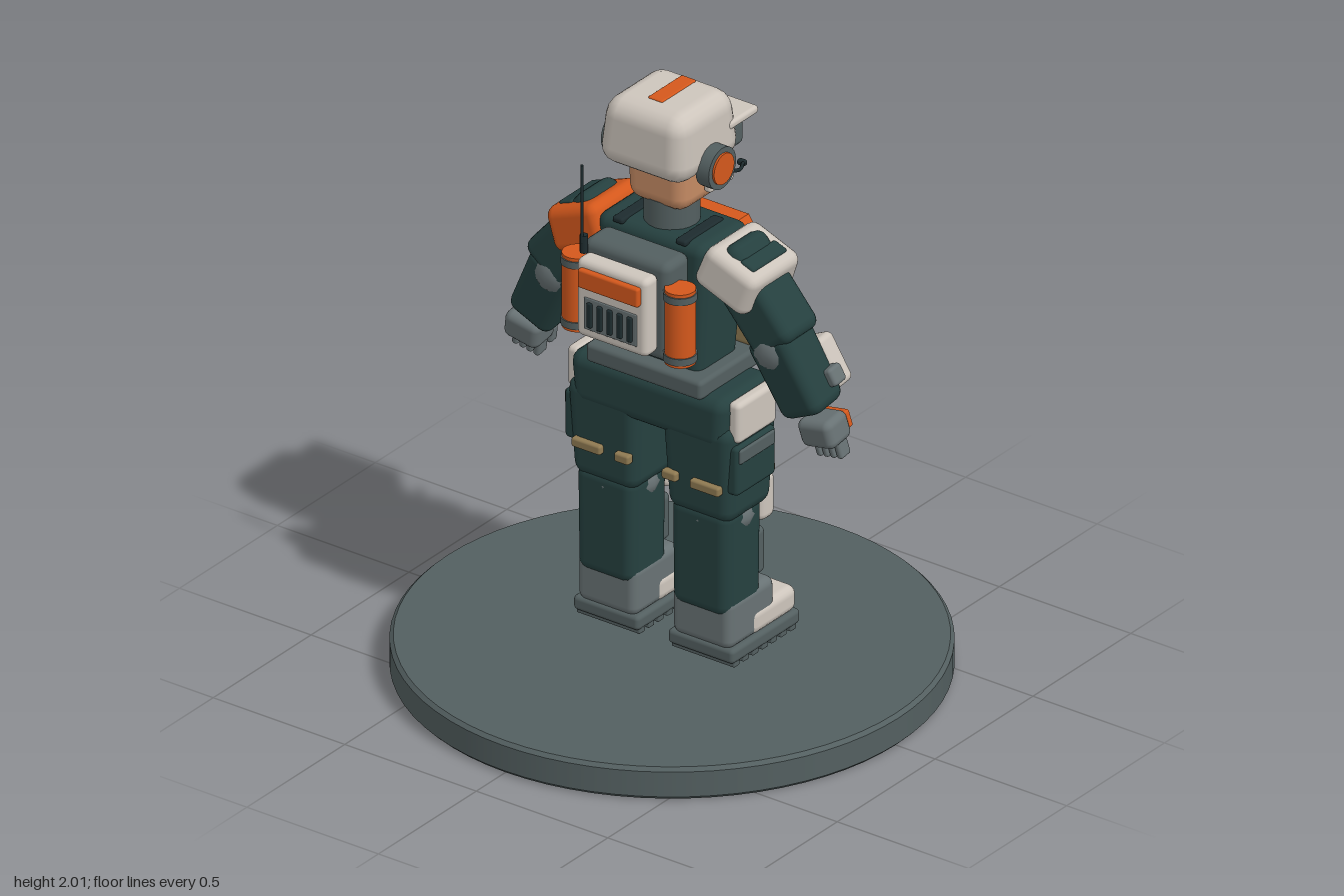
import * as THREE from 'three';
import { RoundedBoxGeometry } from 'three/addons/geometries/RoundedBoxGeometry.js';

const mat = (name, color) => {
  const m = new THREE.MeshStandardMaterial({ color });
  m.name = name;
  return m;
};

export function createModel() {
  const root = new THREE.Group();
  root.name = 'trooperFigure';
  const teal = mat('dark teal', 0x25403f), grey = mat('slate grey', 0x535f60),
    boot = mat('light slate', 0x687274), white = mat('warm white', 0xcdc5bc),
    orange = mat('orange', 0xd4581c), tan = mat('tan', 0x8f7a52),
    skin = mat('skin', 0xc48a63), black = mat('near black', 0x1d2b2e);

  const add = (parent, name, geo, m, x, y, z) => {
    const mesh = new THREE.Mesh(geo, m);
    mesh.name = name;
    mesh.position.set(x, y, z);
    parent.add(mesh);
    return mesh;
  };
  // rounded box: size, centre, corner radius
  const box = (parent, name, m, w, h, d, x, y, z, r = 0.02) =>
    add(parent, name, new RoundedBoxGeometry(w, h, d, 2, Math.min(r, w * 0.49, h * 0.49, d * 0.49)), m, x, y, z);
  const cyl = (parent, name, m, r, h, x, y, z, n = 24) =>
    add(parent, name, new THREE.CylinderGeometry(r, r, h, n), m, x, y, z);
  // scale the cross-section from the bottom to the top
  const taper = (mesh, bottom, top) => {
    const p = mesh.geometry.attributes.position;
    mesh.geometry.computeBoundingBox();
    const { min, max } = mesh.geometry.boundingBox;
    for (let i = 0; i < p.count; i++) {
      const k = THREE.MathUtils.lerp(bottom, top, (p.getY(i) - min.y) / (max.y - min.y));
      p.setX(i, p.getX(i) * k);
      p.setZ(i, p.getZ(i) * k);
    }
    return mesh;
  };
  const group = (name, x = 0, y = 0, z = 0) => {
    const g = new THREE.Group();
    g.name = name;
    g.position.set(x, y, z);
    root.add(g);
    return g;
  };

  // round stand with softened rims
  const rim = [[0, 0], [0.85, 0], [0.862, 0.012], [0.862, 0.098], [0.85, 0.11], [0, 0.11]];
  for (let i = 0; i < rim.length - 1; i++) {
    const pts = [rim[i], rim[i + 1]].map(([x, y]) => new THREE.Vector2(x, y));
    add(root, 'stand', new THREE.LatheGeometry(pts, 72), grey, 0, 0, 0);
  }

  // legs, left and right
  for (const s of [-1, 1]) {
    const leg = group(s > 0 ? 'leftLeg' : 'rightLeg', s * 0.18);
    box(leg, 'sole', grey, 0.25, 0.05, 0.35, 0, 0.165, -0.075, 0.015);
    for (let i = 0; i < 7; i++) box(leg, 'tread', grey, 0.24, 0.025, 0.03, 0, 0.137, 0.07 - i * 0.048, 0.005);
    box(leg, 'bootUpper', boot, 0.225, 0.17, 0.24, 0, 0.265, -0.02, 0.03);
    box(leg, 'toeCap', white, 0.235, 0.09, 0.235, 0, 0.228, -0.13, 0.03);
    taper(box(leg, 'shin', teal, 0.225, 0.37, 0.195, 0, 0.475, 0.015, 0.04), 0.97, 1);
    const knee = add(leg, 'kneeJoint', new THREE.SphereGeometry(0.12, 16, 10), boot, 0, 0.61, 0.005);
    knee.scale.set(1, 0.65, 0.9);
    box(leg, 'shinGuard', grey, 0.15, 0.16, 0.065, 0, 0.43, -0.108, 0.02);
    box(leg, 'shinGuardStripe', orange, 0.03, 0.1, 0.008, 0, 0.44, -0.143, 0.003);
    box(leg, 'kneePad', white, 0.19, 0.16, 0.075, 0, 0.62, -0.128, 0.025);
    box(leg, 'kneePadStripe', orange, 0.12, 0.03, 0.008, 0, 0.625, -0.168, 0.003);
    taper(box(leg, 'thigh', teal, 0.275, 0.34, 0.265, 0, 0.79, 0, 0.045), 0.87, 1);
    box(leg, 'thighPocket', teal, 0.05, 0.17, 0.2, s * 0.125, 0.82, 0.01, 0.015);
    box(leg, 'pocketFlap', grey, 0.02, 0.05, 0.18, s * 0.146, 0.87, 0.01, 0.008);
    for (const [w, x] of [[0.06, -0.055], [0.05, 0.035]])
      box(leg, 'thighStripe', orange, w, 0.26, 0.025, s * x, 0.81, -0.13, 0.008);
    for (const [w, x] of [[0.11, 0.045], [0.055, -0.09]])
      box(leg, 'thighStrap', tan, w, 0.032, 0.03, s * x, 0.748, 0.127, 0.008);
    box(leg, 'thighStrap', tan, 0.05, 0.03, 0.03, s * 0.09, 0.73, -0.12, 0.008);
    box(root, 'hipPad', white, 0.045, 0.14, 0.2, s * 0.306, 0.98, 0.0, 0.018);
  }

  // pelvis, belt and torso
  taper(box(root, 'pelvis', teal, 0.6, 0.18, 0.28, 0, 0.97, 0, 0.045), 0.95, 1);
  box(root, 'belt', grey, 0.44, 0.065, 0.31, 0, 1.082, -0.005, 0.015);
  box(root, 'beltBuckle', boot, 0.1, 0.05, 0.02, 0, 1.082, -0.165, 0.008);
  taper(box(root, 'torso', teal, 0.42, 0.48, 0.25, 0, 1.32, -0.005, 0.04), 0.82, 1);
  cyl(root, 'collar', grey, 0.088, 0.1, 0, 1.6, 0);

  // chest plate with a seam and pocket marks
  const outline = [[-0.14, 1.23], [0.14, 1.23], [0.195, 1.31], [0.2, 1.45], [0.15, 1.53], [-0.15, 1.53], [-0.2, 1.45], [-0.195, 1.31]];
  const plate = new THREE.ExtrudeGeometry(new THREE.Shape(outline.map(([x, y]) => new THREE.Vector2(x, y))),
    { depth: 0.06, bevelSize: 0.008, bevelThickness: 0.008, bevelSegments: 2 });
  add(root, 'chestPlate', plate, orange, 0, 0, -0.182);
  box(root, 'chestSeam', black, 0.012, 0.19, 0.014, 0, 1.425, -0.195, 0.004);
  box(root, 'chestTag', grey, 0.07, 0.03, 0.008, 0.12, 1.46, -0.193, 0.003);
  box(root, 'chestMark', tan, 0.07, 0.02, 0.008, -0.1, 1.41, -0.193, 0.003);

  // belly pouches
  for (const x of [-0.15, 0, 0.15]) {
    box(root, 'pouch', tan, 0.125, 0.14, 0.11, x, 1.18, -0.185, 0.02);
    box(root, 'pouchLid', teal, 0.105, 0.05, 0.035, x, 1.22, -0.235, 0.012);
    box(root, 'pouchClip', black, 0.025, 0.05, 0.012, x, 1.19, -0.25, 0.004);
  }

  // arms, left and right
  for (const s of [-1, 1]) {
    const side = s > 0 ? 'left' : 'right';
    const upper = group(side + 'UpperArm', s * 0.335, 1.4, 0);
    upper.rotation.z = s * 0.71;
    box(upper, 'sleeve', teal, 0.175, 0.35, 0.175, 0, 0, 0, 0.035);

    const pad = group(side + 'ShoulderPad', s * 0.285, 1.472, -0.005);
    pad.rotation.z = -s * 0.37;
    const shell = s > 0 ? white : orange;
    taper(box(pad, 'shoulderShell', shell, 0.215, 0.15, 0.265, 0, 0, 0, 0.035), 1, 0.95);
    box(pad, 'shoulderSlot', teal, 0.055, 0.02, 0.175, s * 0.035, 0.073, 0, 0.009);
    box(pad, 'shoulderBadge', black, 0.1, 0.085, 0.015, s * 0.02, -0.005, -0.132, 0.007);
    box(pad, 'badgePlate', boot, 0.065, 0.05, 0.008, s * 0.02, -0.005, -0.14, 0.003);

    const elbow = add(root, side + 'Elbow', new THREE.SphereGeometry(0.1, 16, 10), boot, s * 0.415, 1.255, 0.005);
    elbow.scale.set(0.9, 0.9, 0.9);

    const fore = group(side + 'Forearm', s * 0.463, 1.175, -0.01);
    fore.rotation.set(0.12, 0, s * 0.46);
    taper(box(fore, 'sleeve', teal, 0.17, 0.28, 0.155, 0, 0, 0, 0.035), 0.97, 1.03);
    box(fore, 'armGuard', white, 0.13, 0.17, 0.08, s * 0.01, -0.03, -0.1, 0.02);
    box(fore, 'guardStripe', orange, 0.035, 0.11, 0.012, s * 0.01, -0.03, -0.141, 0.004);
    box(fore, 'wristDevice', boot, 0.05, 0.06, 0.06, s * 0.085, -0.06, -0.05, 0.012);

    const hand = group(side + 'Hand', s * 0.56, 0.995, -0.025);
    hand.rotation.set(0.15, 0, s * 0.2);
    box(hand, 'glove', boot, 0.13, 0.095, 0.11, 0, 0, 0, 0.025);
    box(hand, 'glovePlate', orange, 0.09, 0.06, 0.025, s * 0.01, 0.005, -0.06, 0.008);
    for (let i = 0; i < 4; i++)
      box(hand, 'finger', boot, 0.023, 0.07, 0.05, (i - 1.5) * 0.027, -0.065, -0.01, 0.01);
    box(hand, 'thumb', boot, 0.03, 0.065, 0.04, -s * 0.045, -0.045, -0.055, 0.012);
  }

  // head and face
  const head = group('head');
  taper(box(head, 'face', skin, 0.235, 0.24, 0.24, 0, 1.75, -0.018, 0.05), 0.94, 1);
  box(head, 'nose', skin, 0.04, 0.055, 0.04, 0, 1.745, -0.145, 0.015);
  box(head, 'mouth', black, 0.06, 0.01, 0.008, 0, 1.69, -0.135, 0.003);

  // helmet
  taper(box(head, 'helmetShell', white, 0.345, 0.23, 0.335, 0, 1.885, 0.015, 0.065), 1, 0.87);
  box(head, 'helmetStripe', orange, 0.055, 0.012, 0.175, 0, 1.999, 0, 0.005);
  box(head, 'brim', white, 0.33, 0.028, 0.15, 0, 1.888, -0.15, 0.012);
  box(head, 'goggles', grey, 0.28, 0.09, 0.07, 0, 1.825, -0.15, 0.02);
  box(head, 'lens', black, 0.24, 0.06, 0.012, 0, 1.825, -0.186, 0.005);
  for (const s of [-1, 1]) {
    box(head, 'cheekGuard', white, 0.03, 0.1, 0.125, s * 0.13, 1.73, -0.065, 0.012);
    for (const [name, m, r, h, x] of [['earCup', grey, 0.07, 0.05, 0.18], ['earDisc', orange, 0.052, 0.012, 0.206]])
      cyl(head, name, m, r, h, s * x, 1.8, 0.018).rotation.z = Math.PI / 2;
  }
  const boom = new THREE.CatmullRomCurve3([[0.19, 1.77, -0.02], [0.18, 1.735, -0.1], [0.13, 1.705, -0.19]].map(p => new THREE.Vector3(...p)));
  add(head, 'microphoneBoom', new THREE.TubeGeometry(boom, 10, 0.006, 8), black, 0, 0, 0);
  box(head, 'microphone', black, 0.03, 0.02, 0.022, 0.125, 1.705, -0.19, 0.008);

  // backpack
  const pack = group('backpack');
  box(pack, 'packBody', grey, 0.325, 0.34, 0.125, 0, 1.37, 0.18, 0.03);
  box(pack, 'packPanel', white, 0.27, 0.27, 0.07, 0, 1.375, 0.278, 0.022);
  box(pack, 'packStripe', orange, 0.23, 0.065, 0.024, 0, 1.452, 0.32, 0.008);
  box(pack, 'ventFrame', boot, 0.2, 0.11, 0.008, 0, 1.33, 0.313, 0.003);
  for (let i = -2; i <= 2; i++) box(pack, 'vent', black, 0.018, 0.085, 0.014, i * 0.038, 1.33, 0.319, 0.004);
  for (const s of [-1, 1]) {
    cyl(pack, 'canister', orange, 0.049, 0.255, s * 0.195, 1.343, 0.22);
    for (const y of [1.237, 1.447]) cyl(pack, 'canisterBand', grey, 0.053, 0.024, s * 0.195, y, 0.22);
    box(pack, 'packStrap', black, 0.04, 0.02, 0.2, s * 0.12, 1.557, 0.02, 0.008);
  }
  cyl(pack, 'antennaBase', black, 0.013, 0.06, -0.145, 1.53, 0.255, 12);
  cyl(pack, 'antenna', black, 0.005, 0.27, -0.145, 1.67, 0.265, 8);
  return root;
}
